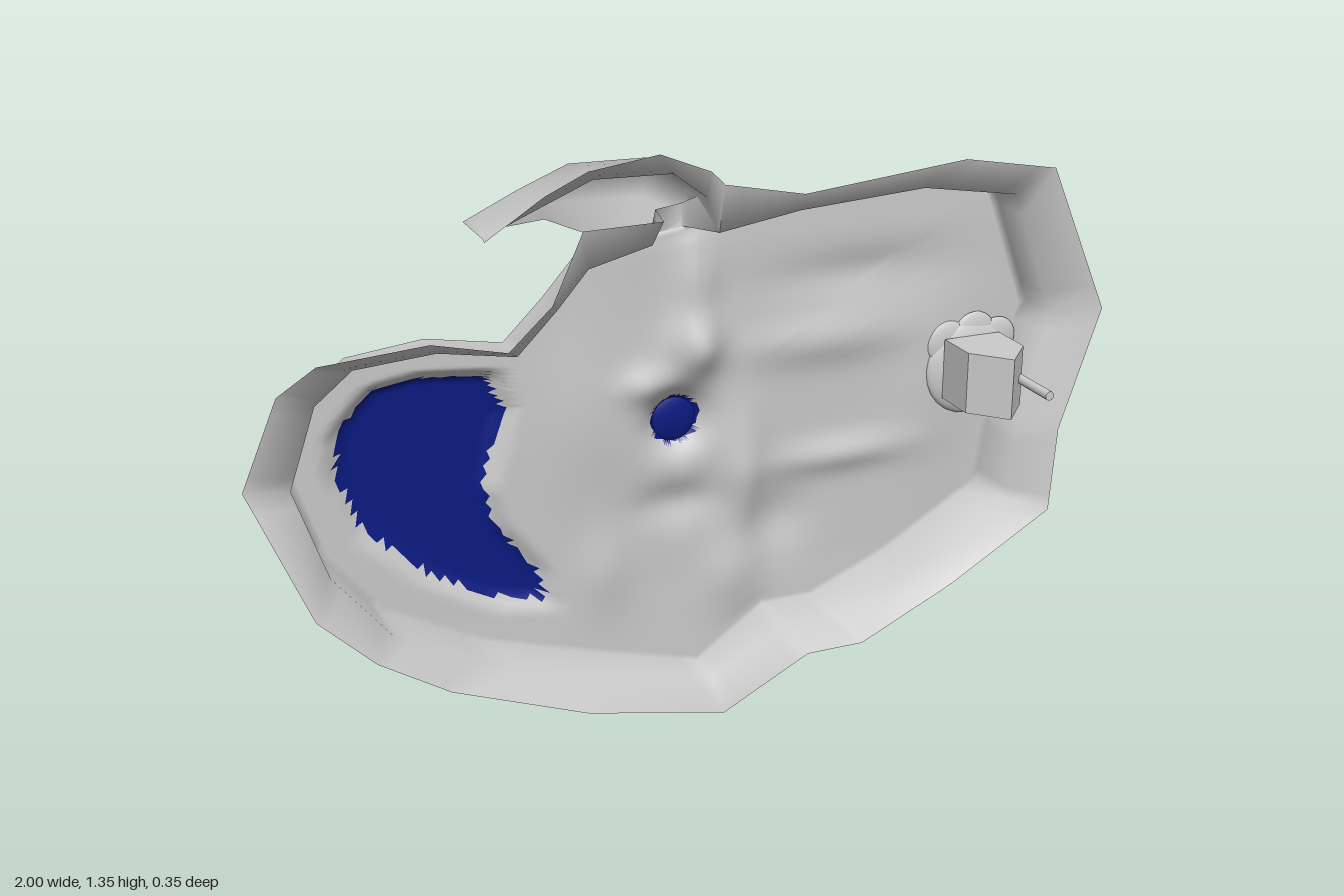
import * as THREE from 'three';

const grey = () => new THREE.MeshStandardMaterial({ color: 0xcccccc, side: THREE.DoubleSide });
const blue = () => new THREE.MeshStandardMaterial({ color: 0x0a1a80, side: THREE.DoubleSide });
const CENTRE = [-0.02, 0.7];

// Rim stations: outer x, y, z, then wall x, y, and z of the wall's front edge
const RIM = [
  [1, 0.88, 0.02, 0.87, 0.88, 0], [0.84, 1.23, 0.03, 0.76, 1.17, 0],
  [0.61, 1.27, 0.03, 0.52, 1.21, 0.01], [0.22, 1.23, 0.03, 0.22, 1.19, 0.01],
  [0.03, 1.27, 0.04, 0.03, 1.16, 0.01], [-0.01, 1.2, -0.11, -0.01, 1.15, -0.11],
  [-0.08, 1.2, -0.08, -0.08, 1.14, -0.11], [-0.1, 1.2, 0.02, -0.11, 1.14, -0.02],
  [-0.28, 1.2, 0.03, -0.26, 1.11, 0], [-0.35, 1.05, 0.03, -0.33, 1.03, 0],
  [-0.45, 0.965, 0.04, -0.42, 0.94, 0], [-0.61, 1, 0.03, -0.59, 0.97, 0],
  [-0.84, 0.98, 0.02, -0.76, 0.95, -0.02], [-0.92, 0.92, 0, -0.84, 0.88, -0.03],
  [-1, 0.72, -0.02, -0.9, 0.7, -0.04], [-0.89, 0.45, 0.07, -0.84, 0.51, 0],
  [-0.77, 0.33, 0.07, -0.72, 0.36, 0.01], [-0.61, 0.22, 0.05, -0.5, 0.24, 0],
  [-0.3, 0.1, 0.05, -0.25, 0.16, -0.01], [0.05, 0, 0, 0.03, 0.08, -0.03],
  [0.24, 0.14, 0.05, 0.2, 0.2, 0], [0.38, 0.14, 0.05, 0.33, 0.2, 0],
  [0.6, 0.26, 0.07, 0.52, 0.28, 0.01], [0.87, 0.4, 0.05, 0.77, 0.43, 0.01],
  [0.89, 0.6, 0.04, 0.79, 0.6, 0.01],
];

const LAKE = [[-0.78, 0.78], [-0.7, 0.86], [-0.6, 0.875], [-0.45, 0.86], [-0.42, 0.78], [-0.47, 0.6],
  [-0.44, 0.5], [-0.35, 0.38], [-0.34, 0.31], [-0.45, 0.33], [-0.6, 0.42], [-0.74, 0.55], [-0.79, 0.68]];

// Hills and hollows of the floor: x, y, radius in x, radius in y, height
const RELIEF = [
  [0.02, 0.88, 0.06, 0.07, 0.05], [0.02, 1.02, 0.05, 0.1, 0.025], [-0.1, 0.8, 0.06, 0.04, 0.02],
  [-0.02, 0.7, 0.15, 0.14, 0.02], [-0.02, 0.7, 0.065, 0.065, -0.08], [-0.02, 0.5, 0.09, 0.05, -0.02],
  [0.14, 0.55, 0.05, 0.13, 0.03], [0.24, 0.42, 0.07, 0.08, -0.02], [0.35, 0.85, 0.2, 0.05, 0.02],
  [0.45, 1.0, 0.22, 0.05, -0.015], [0.4, 0.56, 0.16, 0.04, 0.02], [-0.25, 0.75, 0.1, 0.2, 0.015],
  [0.12, 0.3, 0.07, 0.09, 0.02], [0.62, 0.7, 0.1, 0.2, 0.012], [-0.2, 0.35, 0.06, 0.1, 0.015],
];

// Signed distance to the shoreline, positive inside the lake
function lakeDepth(x, y) {
  let inside = false, d = 9;
  LAKE.forEach(([ax, ay], i) => {
    const [bx, by] = LAKE[(i + 1) % LAKE.length];
    const ex = bx - ax, ey = by - ay;
    const t = THREE.MathUtils.clamp(((x - ax) * ex + (y - ay) * ey) / (ex * ex + ey * ey), 0, 1);
    d = Math.min(d, Math.hypot(x - ax - ex * t, y - ay - ey * t));
    if ((ay > y) !== (by > y) && x < ax + ((y - ay) / ey) * ex) inside = !inside;
  });
  return inside ? d : -d;
}

const wallBase = (y) => -0.1 - 0.022 * THREE.MathUtils.clamp((1.1 - y) / 0.8, 0, 1);

function floorZ(x, y) {
  let z = wallBase(y);
  for (const [cx, cy, rx, ry, h] of RELIEF) z += h * Math.exp(-(((x - cx) / rx) ** 2) - ((y - cy) / ry) ** 2);
  const k = THREE.MathUtils.smoothstep(lakeDepth(x, y), -0.03, 0.015);
  return THREE.MathUtils.lerp(z, -0.145, k);
}

// Surface through rows of points; wet(x, y) sends faces to a second index
function skin(rows, closed, wet = () => false) {
  const n = rows[0].length, dry = [], water = [];
  const p = rows.flat();
  const tri = (a, b, c) => {
    const x = (p[a][0] + p[b][0] + p[c][0]) / 3, y = (p[a][1] + p[b][1] + p[c][1]) / 3;
    (wet(x, y) ? water : dry).push(a, b, c);
  };
  for (let r = 0; r < rows.length - 1; r++) {
    for (let i = 0; i < (closed ? n : n - 1); i++) {
      const j = (i + 1) % n, a = r * n + i, b = r * n + j;
      tri(a, b, a + n);
      tri(b, b + n, a + n);
    }
  }
  const g = new THREE.BufferGeometry();
  g.setAttribute('position', new THREE.Float32BufferAttribute(p.flat(), 3));
  g.setIndex([...dry, ...water]);
  g.computeVertexNormals();
  const part = (index) => { const c = g.clone(); c.setIndex(index); return c; };
  return [part(dry), part(water)];
}

// Linear subdivision of a list of stations
function subdivide(list, steps, closed) {
  const out = [];
  const last = closed ? list.length : list.length - 1;
  for (let i = 0; i < last; i++) {
    const a = list[i], b = list[(i + 1) % list.length];
    for (let s = 0; s < steps; s++) out.push(a.map((v, k) => v + ((b[k] - v) * s) / steps));
  }
  if (!closed) out.push(list[last]);
  return out;
}

export function createModel() {
  const model = new THREE.Group();
  const add = (name, geometry, material, parent = model) => {
    const m = new THREE.Mesh(geometry, material);
    m.name = name;
    parent.add(m);
    return m;
  };

  // Dish: flange, upright wall, then rings of rolling floor to the centre
  const rim = subdivide(RIM, 6, true);
  const rows = [
    rim.map(([x, y, z]) => [x, y, z]),
    rim.map(([, , , x, y, z]) => [x, y, z]),
    rim.map(([, , , x, y]) => [x, y, wallBase(y)]),
  ];
  const RINGS = 44;
  for (let r = 1; r <= RINGS; r++) {
    const t = 1 - r / RINGS;
    rows.push(rim.map(([, , , wx, wy]) => {
      const x = CENTRE[0] + (wx - CENTRE[0]) * t, y = CENTRE[1] + (wy - CENTRE[1]) * t;
      const edge = THREE.MathUtils.smoothstep(r, 0, 4);
      return [x, y, THREE.MathUtils.lerp(wallBase(y), floorZ(x, y), edge)];
    }));
  }
  const wet = (x, y) => lakeDepth(x, y) > 0 || Math.hypot(x - CENTRE[0], y - CENTRE[1]) < 0.058;
  const [land, water] = skin(rows, true, wet);
  add('terrain', land, grey());
  add('lakeAndPond', water, blue());

  // Pond bed showing below the floor
  const bed = add('pondBed', new THREE.SphereGeometry(0.056, 24, 12), blue());
  bed.scale.z = 0.25;
  bed.position.set(CENTRE[0], CENTRE[1], -0.141);

  // Curling spur at the top: outer lip x, y, z; wall x, y; wall foot z; floor edge x, y, z
  const spur = subdivide([
    [0.03, 1.27, 0.04, 0.03, 1.16, -0.1, 0.02, 1.13, -0.1],
    [0, 1.3, 0.04, 0, 1.24, -0.12, -0.03, 1.12, -0.105],
    [-0.12, 1.35, 0.055, -0.08, 1.3, -0.135, -0.1, 1.14, -0.115],
    [-0.27, 1.325, 0.04, -0.25, 1.3, -0.145, -0.2, 1.14, -0.14],
    [-0.36, 1.28, 0.03, -0.36, 1.25, -0.16, -0.3, 1.18, -0.165],
    [-0.48, 1.19, 0, -0.475, 1.19, -0.175, -0.38, 1.17, -0.175],
  ], 5, false);
  const mid = (a, b) => a.map((v, i) => (v + b[i]) / 2);
  const [spurSkin] = skin([
    spur.map((s) => s.slice(0, 3)),
    spur.map((s) => [s[3], s[4], s[2] - 0.03]),
    spur.map((s) => [s[3], s[4], s[5]]),
    spur.map((s) => mid(s.slice(3, 6), s.slice(6, 9))),
    spur.map((s) => s.slice(6, 9)),
  ], false);
  add('curlingSpur', spurSkin, grey());

  // Gabled hut with its chimney, on a lobed mound
  const hut = new THREE.Group();
  hut.name = 'hut';
  model.add(hut);
  const gable = new THREE.Shape([[0.64, 0.08], [0.785, 0.08], [0.785, -0.03], [0.713, -0.11], [0.64, -0.03]]
    .map(([x, y]) => new THREE.Vector2(x, y)));
  const walls = new THREE.ExtrudeGeometry(gable, { depth: 0.145, bevelEnabled: false });
  walls.rotateX(-Math.PI / 2).translate(0, 0.673, 0);
  add('hutWalls', walls, grey(), hut);
  const chimney = add('chimney', new THREE.CylinderGeometry(0.011, 0.011, 0.165, 12), grey(), hut);
  chimney.rotation.x = Math.PI / 2;
  chimney.position.set(0.77, 0.745, 0.0925);
  for (const [x, y, r] of [[0.72, 0.735, 0.115], [0.66, 0.8, 0.055], [0.73, 0.815, 0.055], [0.79, 0.8, 0.05]]) {
    const mound = add('mound', new THREE.SphereGeometry(r, 24, 12, 0, Math.PI), grey(), hut);
    mound.scale.z = 0.25;
    mound.position.set(x, y, -0.1);
  }
  return model;
}
